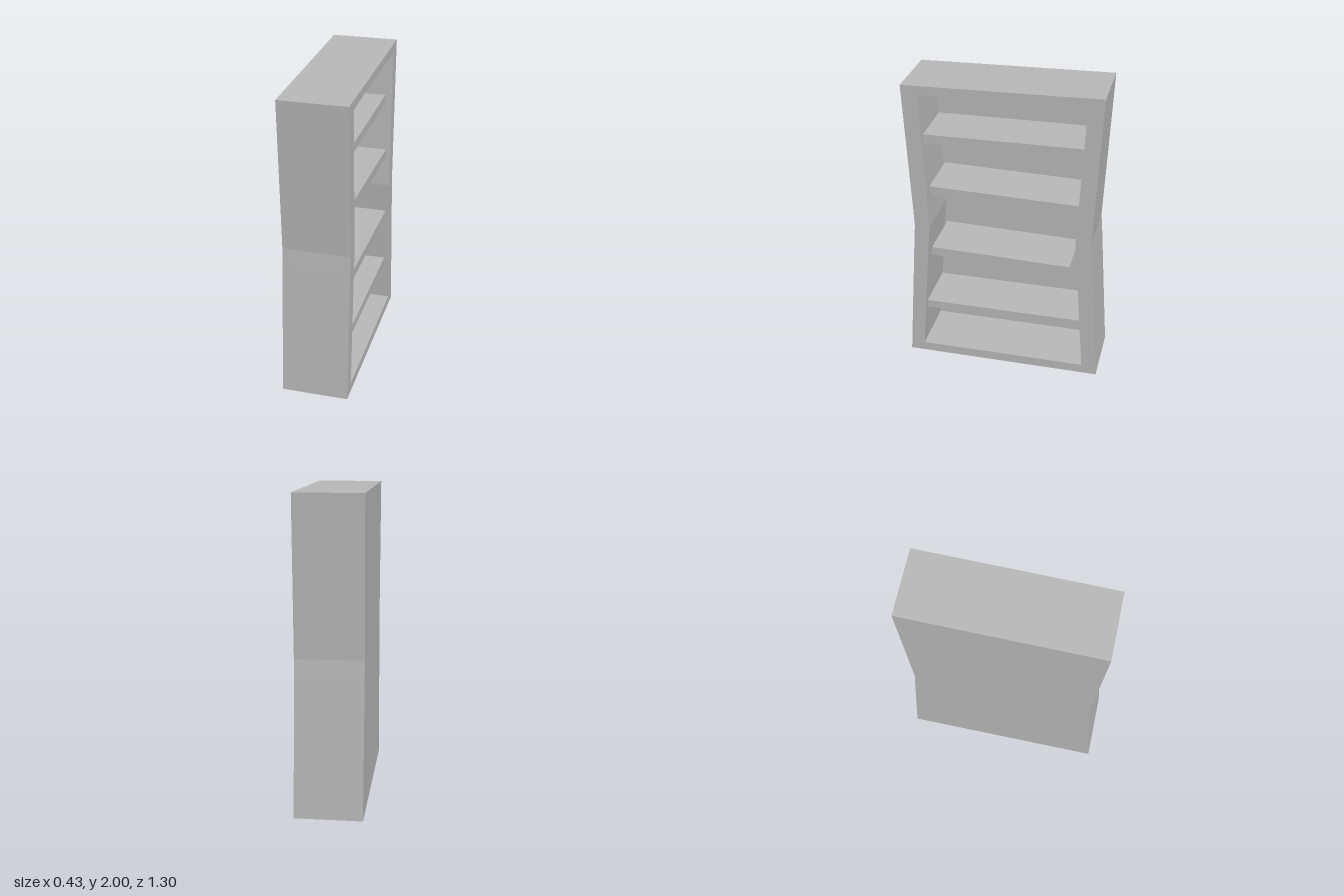
import * as THREE from 'three';

const HALF = 0.215;      // half depth of the cabinet
const BACK = -0.172;     // inner face of the back panel

// Closed outline; first coordinate runs towards -z, second is height
const toPoints = (list) => list.map(([s, y]) => new THREE.Vector2(s, y));

// Extrude an outline along x from x0 to x1
function slab(name, outline, x0, x1, material, hole) {
  const shape = new THREE.Shape(toPoints(outline));
  if (hole) shape.holes.push(new THREE.Path(toPoints(hole)));
  const geo = new THREE.ExtrudeGeometry(shape, { depth: x1 - x0, bevelEnabled: false });
  geo.rotateY(Math.PI / 2);
  geo.translate(x0, 0, 0);
  const mesh = new THREE.Mesh(geo, material);
  mesh.name = name;
  return mesh;
}

export function createModel() {
  const grey = new THREE.MeshStandardMaterial({ color: 0xb8b8b8 });
  grey.name = 'grey';

  // Waisted, slightly crooked outlines of the case and its opening
  const outer = [
    [-0.65, 0], [0.65, 0], [0.588, 0.88], [0.578, 1.0], [0.582, 1.1],
    [0.622, 2.0], [-0.627, 1.975], [-0.584, 1.1], [-0.58, 1.0], [-0.589, 0.88],
  ];
  const inner = [
    [-0.555, 0.062], [0.55, 0.062], [0.488, 0.88], [0.478, 1.0], [0.481, 1.1],
    [0.522, 1.942], [-0.523, 1.92], [-0.485, 1.1], [-0.48, 1.0], [-0.491, 0.88],
  ];

  const model = new THREE.Group();
  model.name = 'bookcase';
  model.add(slab('caseFrame', outer, BACK, HALF, grey, inner));
  model.add(slab('backPanel', outer, -HALF, BACK, grey));

  // Uneven shelves: front edge position and four corners
  const shelves = [
    [0.183, [[-0.55, 0.345], [0.55, 0.345], [0.55, 0.4], [-0.55, 0.4]]],
    [0.204, [[-0.48, 0.785], [0.452, 0.765], [0.443, 0.822], [-0.472, 0.845]]],
    [0.187, [[-0.464, 1.23], [0.51, 1.205], [0.51, 1.265], [-0.478, 1.287]]],
    [0.172, [[-0.53, 1.583], [0.53, 1.592], [0.53, 1.65], [-0.53, 1.64]]],
  ];
  shelves.forEach(([front, corners], i) => {
    model.add(slab(`shelf${i + 1}`, corners, Math.max(front - 0.35, BACK), front, grey));
  });

  return model;
}
